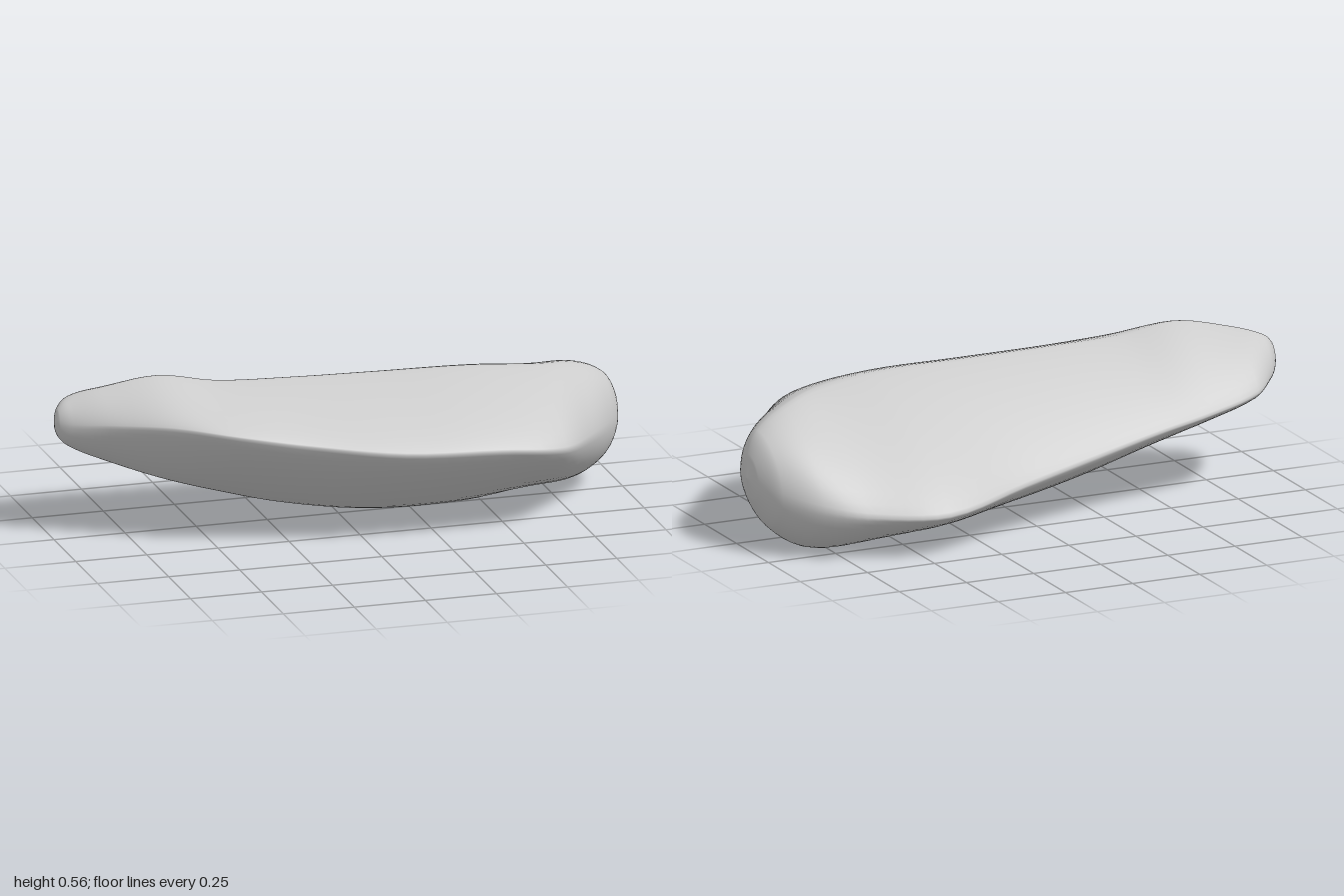
import * as THREE from 'three';

// Cross-sections along x: front edge, back edge, crest and keel
// [x, frontZ, frontY, backZ, backY, topZ, topY, bottomZ, bottomY]
const SECTIONS = [
  [-1, 0, 0.41, 0, 0.41, 0, 0.41, 0, 0.41],
  [-0.985, 0.025, 0.41, -0.05, 0.4, -0.01, 0.46, 0, 0.36],
  [-0.94, 0.06, 0.41, -0.12, 0.385, -0.02, 0.495, 0, 0.32],
  [-0.84, 0.125, 0.42, -0.22, 0.35, 0.01, 0.525, 0.02, 0.275],
  [-0.65, 0.245, 0.43, -0.26, 0.31, 0.04, 0.56, 0.06, 0.205],
  [-0.45, 0.345, 0.41, -0.275, 0.275, 0.06, 0.53, 0.06, 0.14],
  [-0.2, 0.4, 0.37, -0.31, 0.23, 0.07, 0.52, 0.05, 0.07],
  [0.1, 0.465, 0.335, -0.375, 0.185, 0.08, 0.515, 0.04, 0.02],
  [0.43, 0.478, 0.32, -0.485, 0.15, 0.09, 0.51, 0, 0.006],
  [0.67, 0.43, 0.29, -0.415, 0.155, 0.07, 0.485, -0.14, 0],
  [0.83, 0.23, 0.26, -0.345, 0.18, 0, 0.455, -0.15, 0.01],
  [0.94, 0.08, 0.25, -0.24, 0.21, -0.04, 0.4, -0.12, 0.08],
  [0.985, 0, 0.25, -0.15, 0.23, -0.06, 0.33, -0.09, 0.17],
  [1, -0.08, 0.25, -0.08, 0.25, -0.08, 0.25, -0.08, 0.25],
];
// Roundness of the front-top, back-top, back-bottom and front-bottom quarters
const ROUNDNESS = [1.26, 1.22, 1.45, 1.28];
const STEPS = 5;
const QUARTER = 12;

// Smooth (cubic Hermite) blend between two neighbouring sections
function sectionAt(i, t) {
  const at = (k) => SECTIONS[Math.min(Math.max(k, 0), SECTIONS.length - 1)];
  const [a, b, c, d] = [at(i - 1), at(i), at(i + 1), at(i + 2)];
  const h = c[0] - b[0];
  return b.map((v, k) => {
    if (k === 0) return v + h * t;
    const m0 = ((c[k] - a[k]) / (c[0] - a[0])) * h;
    const m1 = ((d[k] - b[k]) / (d[0] - b[0])) * h;
    const t2 = t * t, t3 = t2 * t;
    return (2 * t3 - 3 * t2 + 1) * v + (t3 - 2 * t2 + t) * m0
      + (3 * t2 - 2 * t3) * c[k] + (t3 - t2) * m1;
  });
}

// One ring made of four rounded quarters: front, top, back, bottom
function addRing(positions, [x, fz, fy, bz, by, tz, ty, uz, uy]) {
  const corners = [[fz, fy], [tz, ty], [bz, by], [uz, uy]];
  for (let q = 0; q < 4; q++) {
    const power = 2 / (ROUNDNESS[q] + 0.7 * Math.abs(x) ** (x > 0 ? 5 : 9));
    const edgeFirst = q % 2 === 0;
    const [edge, pole] = edgeFirst
      ? [corners[q], corners[q + 1]]
      : [corners[(q + 1) % 4], corners[q]];
    for (let j = 0; j < QUARTER; j++) {
      const s = j / QUARTER;
      const angle = (edgeFirst ? s : 1 - s) * Math.PI / 2;
      const u = Math.cos(angle) ** power;
      const v = Math.sin(angle) ** power;
      positions.push(
        x,
        edge[1] + (pole[1] - edge[1]) * v,
        pole[0] + (edge[0] - pole[0]) * u,
      );
    }
  }
}

function createStoneGeometry() {
  const positions = [];
  const indices = [];
  const last = SECTIONS.length - 1;
  for (let i = 0; i < last; i++) {
    for (let s = 0; s < STEPS; s++) addRing(positions, sectionAt(i, s / STEPS));
  }
  addRing(positions, SECTIONS[last]);

  // Skin between rings; the first and last rings are single points
  const ring = QUARTER * 4;
  const bands = last * STEPS;
  for (let i = 0; i < bands; i++) {
    for (let j = 0; j < ring; j++) {
      const k = (j + 1) % ring;
      const a = i * ring + j, b = a + ring;
      const c = (i + 1) * ring + k, d = i * ring + k;
      if (i > 0) indices.push(a, b, d);
      if (i < bands - 1) indices.push(b, c, d);
    }
  }
  const geometry = new THREE.BufferGeometry();
  geometry.setAttribute('position', new THREE.Float32BufferAttribute(positions, 3));
  geometry.setIndex(indices);
  geometry.computeVertexNormals();
  return geometry;
}

export function createModel() {
  const group = new THREE.Group();
  group.name = 'stone';
  const body = new THREE.Mesh(
    createStoneGeometry(),
    new THREE.MeshStandardMaterial({ color: 0xcccccc }),
  );
  body.name = 'stoneBody';
  group.add(body);
  return group;
}
